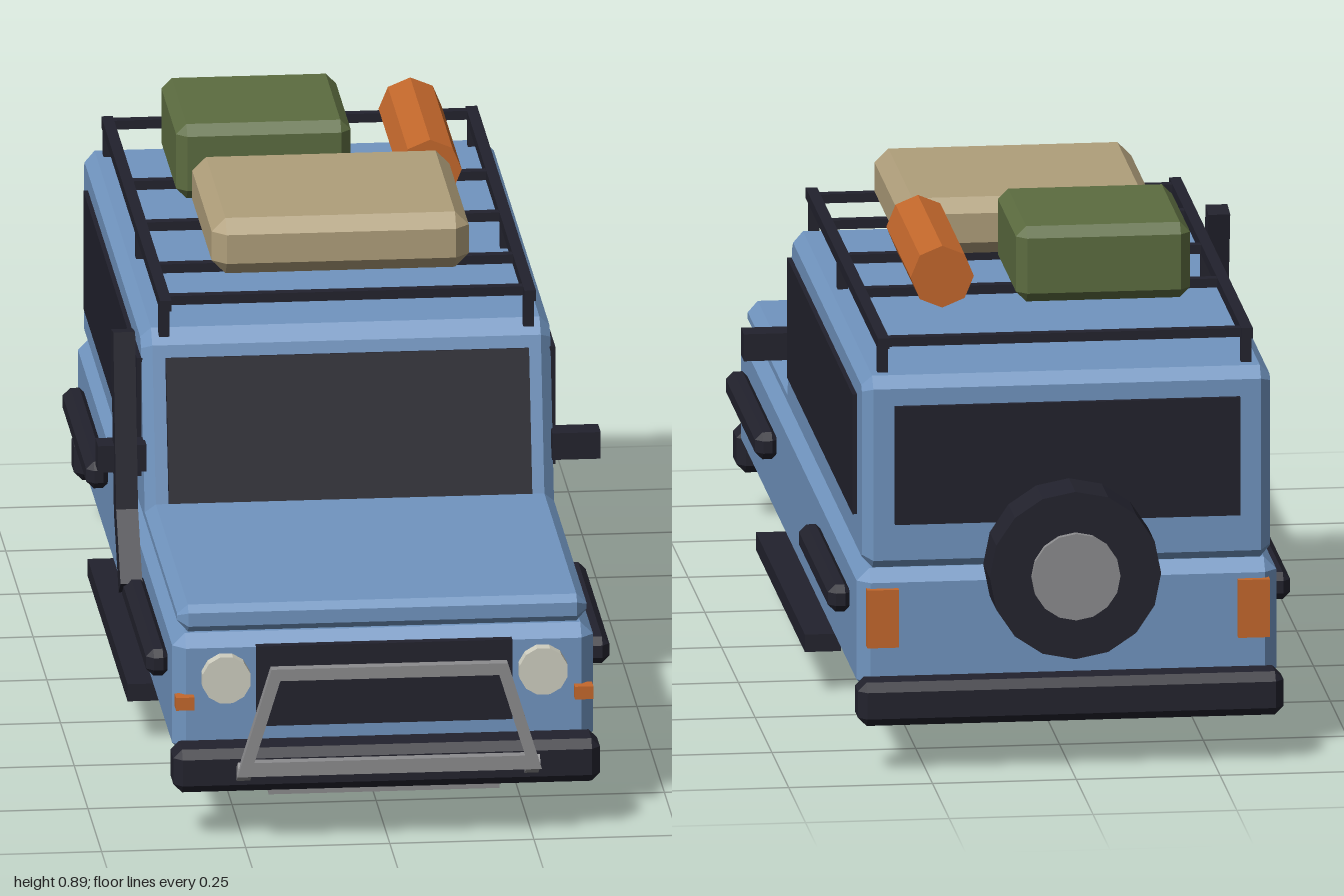
import * as THREE from 'three';
import { ConvexGeometry } from 'three/addons/geometries/ConvexGeometry.js';

const mat = (name, color) => {
  const m = new THREE.MeshStandardMaterial({ color });
  m.name = name;
  return m;
};

export function createModel() {
  const paint = mat('blue paint', 0x7195c0);
  const trim = mat('dark trim', 0x22222d);
  const glass = mat('dark glass', 0x21212c);
  const metal = mat('grey metal', 0x8c8c8e);
  const lamp = mat('cream lamp', 0xcfcec0);
  const orange = mat('orange', 0xc4682c);
  const canvas = mat('tan canvas', 0xb09f7b);
  const green = mat('green canvas', 0x5c6c40);

  const car = new THREE.Group();
  car.name = 'offRoader';

  const add = (name, geometry, material, x = 0, y = 0, z = 0) => {
    const m = new THREE.Mesh(geometry, material);
    m.name = name;
    m.position.set(x, y, z);
    car.add(m);
    return m;
  };

  // Box given by its limits; c > 0 chamfers every edge
  const box = (name, material, [x0, x1], [y0, y1], [z0, z1], c = 0) => {
    const w = x1 - x0, h = y1 - y0, d = z1 - z0;
    let geo;
    if (c > 0) {
      const pts = [];
      for (const sx of [-1, 1]) for (const sy of [-1, 1]) for (const sz of [-1, 1])
        for (let k = 0; k < 3; k++)
          pts.push(new THREE.Vector3(
            sx * (w / 2 - (k === 0 ? 0 : c)),
            sy * (h / 2 - (k === 1 ? 0 : c)),
            sz * (d / 2 - (k === 2 ? 0 : c))));
      geo = new ConvexGeometry(pts);
    } else geo = new THREE.BoxGeometry(w, h, d);
    return add(name, geo, material, (x0 + x1) / 2, (y0 + y1) / 2, (z0 + z1) / 2);
  };

  // The same box on both sides
  const pair = (name, material, [x0, x1], ys, zs, c = 0) => {
    box(name + 'Left', material, [x0, x1], ys, zs, c);
    box(name + 'Right', material, [-x1, -x0], ys, zs, c);
  };

  // Bar of rectangular section between two points in a plane of constant x
  const bar = (name, material, x, [y0, z0], [y1, z1], w, d) => {
    const len = Math.hypot(y1 - y0, z1 - z0);
    const m = add(name, new THREE.BoxGeometry(w, len, d), material, x, (y0 + y1) / 2, (z0 + z1) / 2);
    m.rotation.x = Math.atan2(z1 - z0, y1 - y0);
    return m;
  };

  // Lower body
  box('lowerBody', paint, [-0.365, 0.365], [0.13, 0.35], [-0.875, 0.89], 0.022);

  // Bonnet and cabin: side profile (z, y) extruded across with bevelled sides
  const b = 0.018, halfWidth = 0.355;
  const profile = [
    [-0.85, 0.35], [0.86, 0.35], [0.872, 0.362], [0.872, 0.386], [0.858, 0.398], [0.275, 0.398],
    [0.21, 0.665], [0.185, 0.69], [-0.845, 0.69], [-0.865, 0.67], [-0.865, 0.365],
  ].map(([z, y]) => new THREE.Vector2(z, y));
  const upper = new THREE.ExtrudeGeometry(new THREE.Shape(profile), {
    depth: 2 * (halfWidth - b), bevelEnabled: true, bevelSegments: 1,
    bevelThickness: b, bevelSize: b, bevelOffset: -b,
  });
  upper.translate(0, 0, -(halfWidth - b));
  upper.rotateY(-Math.PI / 2);
  add('bonnetAndCabin', upper, paint);

  // Windows
  bar('windscreen', glass, 0, [0.40, 0.28], [0.645, 0.22], 0.63, 0.014);
  pair('sideWindow', glass, [0.352, 0.363], [0.427, 0.64], [-0.777, 0.2]);
  box('rearWindow', glass, [-0.3, 0.3], [0.43, 0.64], [-0.874, -0.86]);

  // Bumpers, grille and lights
  box('frontBumper', trim, [-0.37, 0.37], [0.085, 0.162], [0.875, 0.957], 0.015);
  box('rearBumper', trim, [-0.37, 0.37], [0.085, 0.162], [-0.933, -0.86], 0.015);
  box('grille', trim, [-0.222, 0.222], [0.188, 0.332], [0.88, 0.902]);
  for (const s of [1, -1]) {
    const light = add('headlight', new THREE.CylinderGeometry(0.043, 0.043, 0.03, 12).toNonIndexed(), lamp,
      s * 0.275, 0.276, 0.898);
    light.geometry.computeVertexNormals();
    light.rotation.x = Math.PI / 2;
    light.rotation.y = Math.PI / 12;
  }
  pair('indicator', orange, [0.33, 0.362], [0.222, 0.245], [0.88, 0.908]);
  pair('tailLight', orange, [0.295, 0.35], [0.215, 0.318], [-0.887, -0.865]);

  // Bull bar: open trapezoid frame with two brackets
  const quad = (xb, yb, xt, yt) => [[-xb, yb], [xb, yb], [xt, yt], [-xt, yt]].map(([x, y]) => new THREE.Vector2(x, y));
  const frame = new THREE.Shape(quad(0.264, 0.127, 0.205, 0.32));
  frame.holes.push(new THREE.Path(quad(0.235, 0.152, 0.19, 0.299)));
  add('bullBar', new THREE.ExtrudeGeometry(frame, { depth: 0.02, bevelEnabled: false }), metal, 0, 0, 0.98);
  for (const s of [1, -1]) bar('bullBarBracket', metal, s * 0.25, [0.11, 0.94], [0.14, 0.99], 0.024, 0.022);

  // Underside
  box('skidPlate', metal, [-0.2, 0.2], [0.062, 0.096], [0.6, 0.895]);
  for (const z of [0.563, -0.53]) {
    box('axle', trim, [-0.277, 0.277], [0.04, 0.08], [z - 0.022, z + 0.022]);
    box('differential', trim, [-0.072, 0.072], [0, 0.088], [z - 0.063, z + 0.063], 0.02);
  }
  pair('rockSlider', trim, [0.333, 0.396], [0.076, 0.107], [-0.35, 0.38]);

  // Side guards and mirrors
  pair('frontGuard', trim, [0.36, 0.402], [0.246, 0.294], [0.33, 0.79], 0.013);
  pair('rearGuard', trim, [0.36, 0.402], [0.246, 0.294], [-0.756, -0.3], 0.013);
  pair('mirror', trim, [0.352, 0.436], [0.454, 0.502], [0.214, 0.262]);

  // Snorkel on the right side
  bar('snorkelPost', trim, -0.389, [0.38, 0.278], [0.698, 0.223], 0.038, 0.044);
  bar('snorkelElbow', trim, -0.389, [0.275, 0.36], [0.395, 0.272], 0.038, 0.044);

  // Spare wheel
  const disc = (name, r, material, z0, z1) => {
    const g = new THREE.CylinderGeometry(r, r, z1 - z0, 16).toNonIndexed();
    g.computeVertexNormals();
    g.rotateX(Math.PI / 2);
    add(name, g, material, 0, 0.36, (z0 + z1) / 2);
  };
  disc('spareTyre', 0.149, trim, -0.988, -0.89);
  disc('spareHub', 0.077, metal, -1.0, -0.95);
  box('spareMount', trim, [-0.05, 0.05], [0.31, 0.41], [-0.9, -0.87]);

  // Roof rack
  pair('rackRail', trim, [0.306, 0.326], [0.735, 0.754], [-0.838, 0.238]);
  for (const z of [0.2, 0.015, -0.23, -0.47, -0.822])
    box('rackCrossbar', trim, [-0.31, 0.31], [0.737, 0.753], [z - 0.009, z + 0.009]);
  for (const z of [0.2, -0.222, -0.815])
    pair('rackPost', trim, [0.307, 0.325], [0.68, 0.74], [z - 0.009, z + 0.009]);

  // Luggage
  box('tanBag', canvas, [-0.223, 0.223], [0.756, 0.856], [-0.285, 0.118], 0.024);
  box('greenBag', green, [-0.243, 0.06], [0.756, 0.89], [-0.632, -0.328], 0.018);
  const roll = new THREE.CylinderGeometry(0.055, 0.055, 0.363, 8).toNonIndexed();
  roll.computeVertexNormals();
  roll.rotateX(Math.PI / 2);
  add('bedRoll', roll, orange, 0.192, 0.813, -0.467);

  return car;
}
